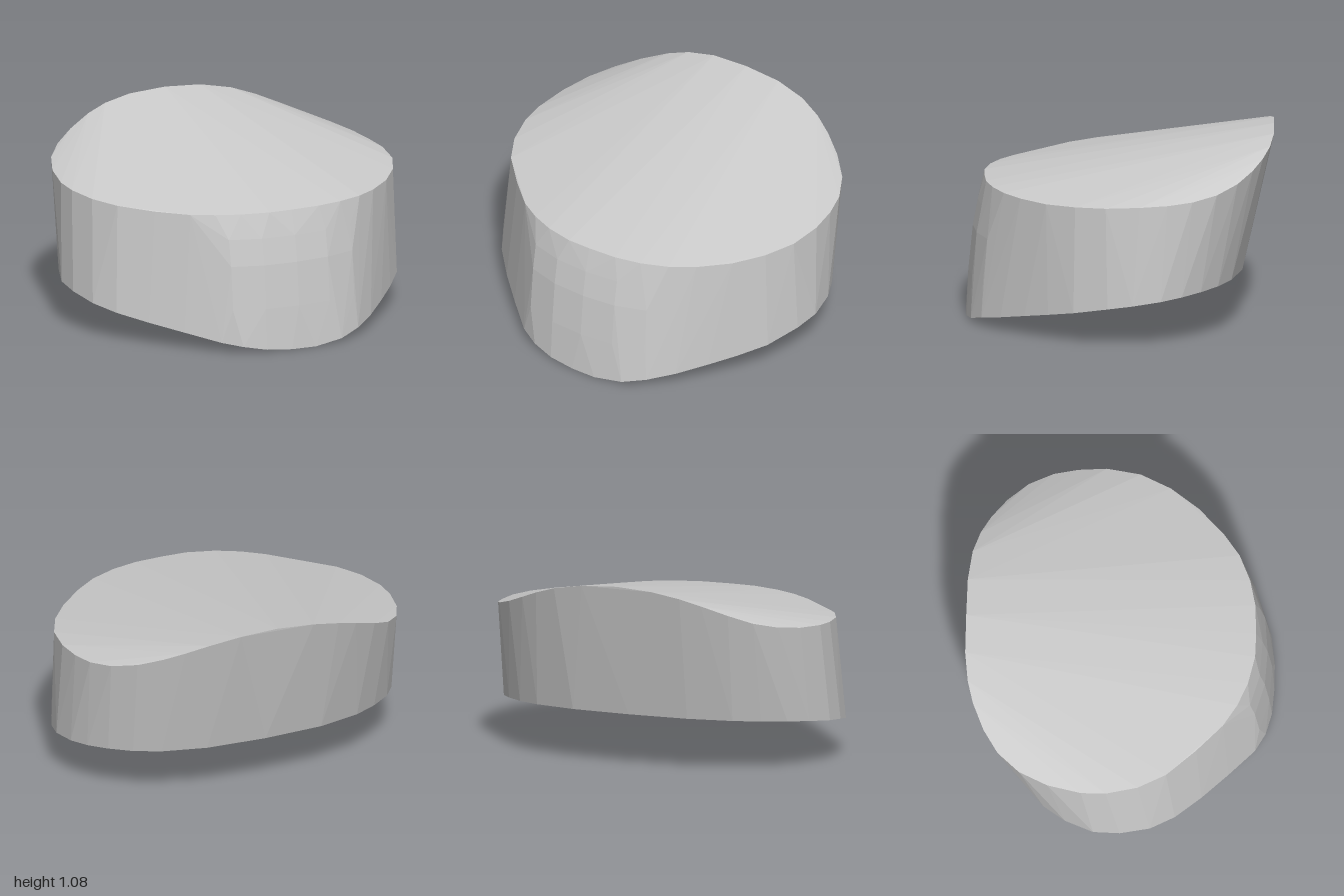
import * as THREE from 'three';
import { ConvexGeometry } from 'three/addons/geometries/ConvexGeometry.js';

// Piecewise linear lookup; keys ascend
function lookup(table, t) {
  if (t <= table[0][0]) return table[0][1];
  for (let i = 1; i < table.length; i++) {
    const [a, va] = table[i - 1], [b, vb] = table[i];
    if (t <= b) return va + (vb - va) * (t - a) / (b - a);
  }
  return table[table.length - 1][1];
}

// Plan outlines as [x, z]
const topOutline = [
  [0, 0.765], [0.17, 0.76], [0.32, 0.73], [0.47, 0.67], [0.6, 0.58], [0.75, 0.44],
  [0.87, 0.28], [0.95, 0.11], [0.98, -0.08], [0.97, -0.24], [0.94, -0.38], [0.87, -0.52],
  [0.76, -0.64], [0.64, -0.73], [0.53, -0.79], [0.4, -0.835], [0.22, -0.862], [0, -0.87],
  [-0.22, -0.875], [-0.38, -0.86], [-0.5, -0.83], [-0.64, -0.77], [-0.76, -0.69],
  [-0.86, -0.57], [-0.93, -0.41], [-0.97, -0.22], [-0.97, -0.08], [-0.93, 0.1],
  [-0.85, 0.26], [-0.7, 0.43], [-0.55, 0.58], [-0.43, 0.66], [-0.3, 0.72], [-0.14, 0.76],
];
const bottomOutline = [
  [0.1, 0.87], [0.27, 0.85], [0.4, 0.795], [0.53, 0.69], [0.66, 0.56], [0.78, 0.43],
  [0.89, 0.29], [0.97, 0.1], [1, -0.04], [0.98, -0.2], [0.93, -0.32], [0.85, -0.43],
  [0.74, -0.53], [0.6, -0.61], [0.35, -0.68], [0, -0.7], [-0.35, -0.68], [-0.6, -0.61],
  [-0.74, -0.53], [-0.86, -0.43], [-0.94, -0.31], [-1, -0.15], [-1, 0], [-0.96, 0.17],
  [-0.88, 0.31], [-0.75, 0.46], [-0.6, 0.61], [-0.44, 0.76], [-0.33, 0.82], [-0.2, 0.855],
  [-0.05, 0.868],
];

// Rim heights: the back of the top rim arches over x, the rest follows z
const topBack = [[0, 1.075], [0.22, 1.062], [0.4, 1.028], [0.53, 0.985], [0.64, 0.94],
  [0.76, 0.89], [0.87, 0.85], [0.94, 0.825], [0.97, 0.812]];
const topFront = [[-0.1, 0.806], [0, 0.8], [0.5, 0.776], [0.77, 0.79]];
const bottomRim = [[-0.7, 0.31], [-0.4, 0.285], [-0.2, 0.26], [0, 0.235], [0.2, 0.2],
  [0.4, 0.155], [0.6, 0.105], [0.8, 0.05], [0.85, 0.02], [0.87, 0]];

export function createModel() {
  const points = [];
  for (const [x, z] of topOutline) {
    const y = z < -0.1 ? lookup(topBack, Math.abs(x)) : lookup(topFront, z);
    points.push(new THREE.Vector3(x, y, z));
  }
  for (const [x, z] of bottomOutline) points.push(new THREE.Vector3(x, lookup(bottomRim, z), z));

  // Gentle bulge of the front wall
  for (const [y, z] of [[0.25, 0.855], [0.5, 0.83], [0.65, 0.802]]) {
    for (const [x, back] of [[0, 0], [0.2, 0.015], [0.38, 0.07]]) {
      for (const side of x ? [-1, 1] : [1]) points.push(new THREE.Vector3(side * x, y, z - back));
    }
  }

  // Solid body with arched top and bottom faces
  const body = new THREE.Mesh(
    new ConvexGeometry(points),
    new THREE.MeshStandardMaterial({ color: 0xcccccc, flatShading: true }),
  );
  body.name = 'body';

  const model = new THREE.Group();
  model.name = 'slantedBlock';
  model.add(body);
  return model;
}
